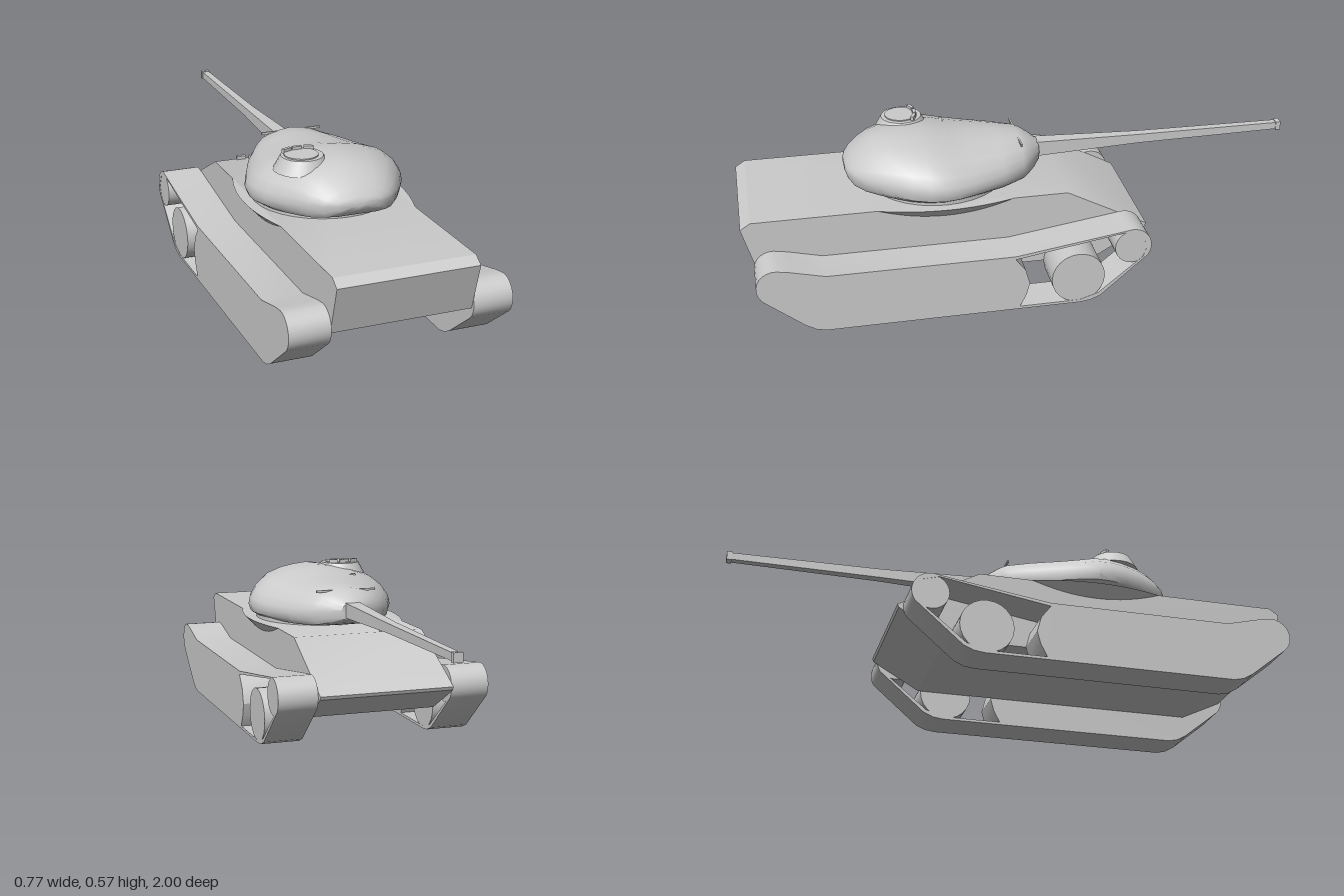
import * as THREE from 'three';
import { toCreasedNormals } from 'three/addons/utils/BufferGeometryUtils.js';

const material = new THREE.MeshStandardMaterial({ color: 0xcccccc });

function add(parent, name, geometry, x = 0, y = 0, z = 0) {
  const mesh = new THREE.Mesh(geometry, material);
  mesh.name = name;
  mesh.position.set(x, y, z);
  parent.add(mesh);
  return mesh;
}

// Side profile given as [z, y] points, extruded across x from x0 to x1
function sideExtrude(points, x0, x1, hole) {
  const toVec = (p) => new THREE.Vector2(p[0], p[1]);
  const shape = new THREE.Shape(points.map(toVec));
  if (hole) shape.holes.push(new THREE.Path(hole.map(toVec)));
  const g = new THREE.ExtrudeGeometry(shape, { depth: x1 - x0, bevelEnabled: false });
  g.rotateY(-Math.PI / 2).translate(x1, 0, 0);
  return toCreasedNormals(g, 0.5);
}

// Skin over rings of [x, y, z] points, anticlockwise seen from +z, z increasing
function loft(rings, crease) {
  const n = rings[0].length, last = (rings.length - 1) * n, index = [];
  for (let i = 0; i < rings.length - 1; i++) {
    for (let j = 0; j < n; j++) {
      const a = i * n + j, b = i * n + (j + 1) % n;
      index.push(a, b, b + n, a, b + n, a + n);
    }
  }
  for (let j = 1; j < n - 1; j++) {
    index.push(0, j + 1, j, last, last + j, last + j + 1);
  }
  const g = new THREE.BufferGeometry();
  g.setAttribute('position', new THREE.Float32BufferAttribute(rings.flat(2), 3));
  g.setIndex(index);
  return toCreasedNormals(g, crease);
}

// Points on an arc in the side plane, angles in degrees from +z towards +y
function arc(z, y, r, from, to, steps) {
  return Array.from({ length: steps + 1 }, (_, i) => {
    const a = THREE.MathUtils.degToRad(from + (to - from) * i / steps);
    return [z + r * Math.cos(a), y + r * Math.sin(a)];
  });
}

function wheel(r, width) {
  return toCreasedNormals(new THREE.CylinderGeometry(r, r, width, 24).rotateZ(Math.PI / 2), 0.6);
}

function createTurret() {
  const turret = new THREE.Group();
  turret.name = 'turret';

  // Half cross-section: x as share of half width, y as share of height above or below the belt
  const half = [[0, -1], [0.6, -1], [0.88, -0.9], [0.97, -0.55], [1, 0], [0.98, 0.2],
    [0.9, 0.44], [0.74, 0.7], [0.48, 0.87], [0.25, 0.95], [0, 1]];
  const section = [...half, ...half.slice(1, -1).reverse().map(([x, y]) => [-x, y])];

  // Stations along z: z, half width, bottom, belt, top
  const stations = [
    [-0.075, 0.045, 0.405, 0.435, 0.465], [-0.05, 0.085, 0.39, 0.43, 0.485],
    [-0.02, 0.125, 0.38, 0.425, 0.503], [0, 0.145, 0.375, 0.42, 0.511],
    [0.08, 0.195, 0.37, 0.413, 0.517], [0.19, 0.243, 0.37, 0.41, 0.525],
    [0.25, 0.265, 0.37, 0.41, 0.533], [0.3, 0.274, 0.37, 0.412, 0.545],
    [0.35, 0.27, 0.37, 0.414, 0.551], [0.41, 0.25, 0.372, 0.417, 0.552],
    [0.47, 0.217, 0.376, 0.422, 0.549], [0.52, 0.186, 0.381, 0.428, 0.536],
    [0.56, 0.157, 0.386, 0.433, 0.513], [0.595, 0.12, 0.396, 0.438, 0.486],
    [0.615, 0.082, 0.415, 0.44, 0.464], [0.623, 0.04, 0.432, 0.442, 0.452],
  ];
  const rings = stations.map(([z, w, bottom, belt, top]) => section.map(([x, y]) =>
    [x * w, belt + y * (y > 0 ? top - belt : belt - bottom), z]));
  add(turret, 'turretShell', loft(rings, 0.6));
  add(turret, 'turretRing', new THREE.CylinderGeometry(0.245, 0.245, 0.045, 32), 0, 0.375, 0.295);
  add(turret, 'mantletSeam', new THREE.BoxGeometry(0.225, 0.008, 0.006), 0, 0.5, 0.003);

  // Square tapering gun with a muzzle collar
  const square = (z, r) => [[-r, -r], [r, -r], [r, r], [-r, r]].map(([x, y]) => [x, 0.438 + y, z]);
  add(turret, 'gunBarrel', loft([square(-0.99, 0.013), square(-0.45, 0.017), square(-0.04, 0.028)], 0.3));
  add(turret, 'muzzle', new THREE.BoxGeometry(0.032, 0.032, 0.018), 0, 0.438, -0.991);

  // Commander's cupola and small fittings on the roof
  add(turret, 'cupola', toCreasedNormals(new THREE.CylinderGeometry(0.072, 0.098, 0.048, 24), 0.5), -0.115, 0.529, 0.4);
  add(turret, 'hatchLid', toCreasedNormals(new THREE.CylinderGeometry(0.058, 0.058, 0.004, 20), 0.5), -0.118, 0.555, 0.4);
  for (const [x, z, turn] of [[-0.155, 0.36, 0.4], [-0.115, 0.352, 0], [-0.075, 0.36, -0.4]]) {
    add(turret, 'periscope', new THREE.BoxGeometry(0.034, 0.014, 0.012), x, 0.56, z).rotation.y = turn;
  }
  add(turret, 'roofVent', new THREE.BoxGeometry(0.026, 0.014, 0.012), -0.115, 0.516, 0.257);
  return turret;
}

function createTrack(side) {
  const track = new THREE.Group();
  track.name = side > 0 ? 'leftTrack' : 'rightTrack';
  const inner = 0.243, outer = 0.383, mid = side * (inner + outer) / 2;
  const [x0, x1] = side > 0 ? [inner, outer] : [-outer, -inner];

  // Solid running gear, open around the first road wheel and the sprocket
  const outline = [
    [0.74, 0], [0.775, 0.008], [0.81, 0.028],
    ...arc(0.9, 0.185, 0.066, -50, 95, 10),
    [0.85, 0.243], [0.73, 0.213], [0.08, 0.212],
    ...arc(-0.337, 0.204, 0.068, 75, 215, 12),
    [-0.225, 0.02], [-0.19, 0.005], [-0.15, 0],
  ];
  const opening = [
    [0.08, 0.2], [-0.31, 0.262], [-0.37, 0.245], [-0.39, 0.2], [-0.375, 0.16],
    [-0.215, 0.03], [-0.15, 0.01], [0.065, 0.01], [0.042, 0.055], [0.03, 0.1], [0.045, 0.155],
  ];
  add(track, 'trackBand', sideExtrude(outline, x0, x1, opening));
  add(track, 'roadWheel', wheel(0.095, 0.138), mid, 0.1, -0.144);
  add(track, 'sprocket', wheel(0.063, 0.138), mid, 0.204, -0.337);
  return track;
}

// Flared shelf that carries the turret ring past the hull side
function createSponson(side) {
  const rings = [];
  for (let i = 0; i <= 16; i++) {
    const t = -1 + i / 8, k = 1 - t * t, z = 0.295 + 0.245 * t;
    const ring = [[0.23, 0.365], [0.238, 0.364 - 0.045 * k], [0.24 + 0.042 * k, 0.365]];
    const placed = ring.map(([x, y]) => [side * x, y, z]);
    rings.push(side > 0 ? placed : placed.reverse());
  }
  return loft(rings, 0.5);
}

export function createModel() {
  const model = new THREE.Group();
  model.name = 'tank';

  // Hull with sloped bow plates and a chamfered end
  add(model, 'hull', sideExtrude([
    [-0.25, 0.102], [0.8, 0.102], [0.953, 0.175], [1, 0.342], [0.965, 0.365],
    [-0.135, 0.365], [-0.425, 0.212], [-0.42, 0.2],
  ], -0.242, 0.242));
  for (const [x, z, turn] of [[-0.145, -0.13, 0], [-0.1, -0.122, -0.3]]) {
    add(model, 'driverPeriscope', new THREE.BoxGeometry(0.034, 0.018, 0.014), x, 0.368, z).rotation.y = turn;
  }

  for (const side of [1, -1]) {
    model.add(createTrack(side));
    add(model, side > 0 ? 'leftSponson' : 'rightSponson', createSponson(side));
  }
  model.add(createTurret());
  return model;
}
